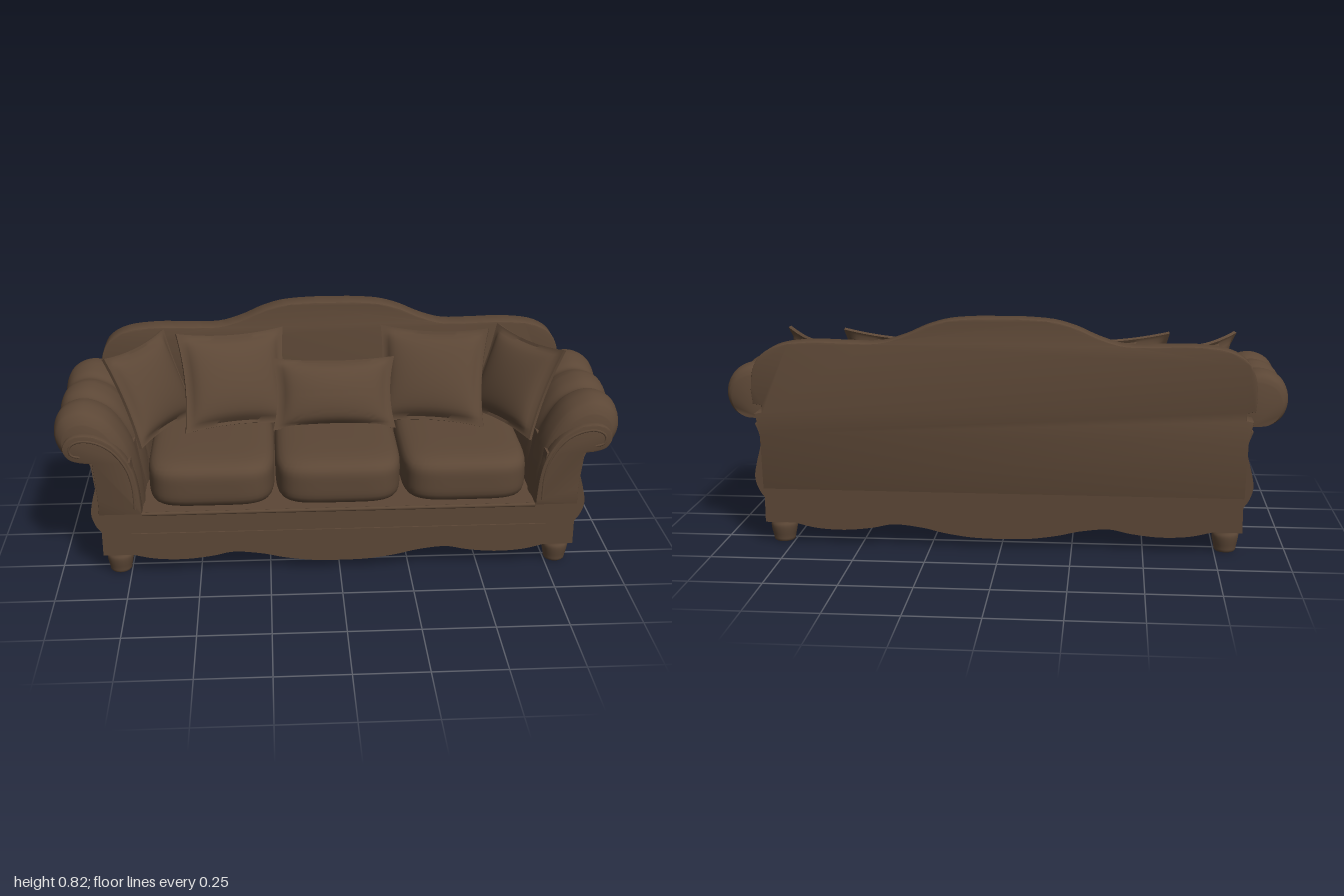
import * as THREE from 'three';
import { mergeVertices, toCreasedNormals } from 'three/addons/utils/BufferGeometryUtils.js';

const leather = new THREE.MeshStandardMaterial({ color: 0x5c4736 });
leather.name = 'brown leather';

const V = ([x, y]) => new THREE.Vector2(x, y);
const spline = (pts, n) => new THREE.SplineCurve(pts.map(V)).getPoints(n);
const mirror = (pts) => [...pts, ...pts.slice().reverse().map((p) => new THREE.Vector2(-p.x, p.y))];

function extrude(points, z0, z1, bevel = 0) {
  const geo = new THREE.ExtrudeGeometry(new THREE.Shape(points), {
    depth: z1 - z0 - 2 * bevel, bevelEnabled: bevel > 0,
    bevelSize: bevel, bevelOffset: -bevel, bevelThickness: bevel, bevelSegments: 2,
  });
  geo.translate(0, 0, z0 + bevel);
  return toCreasedNormals(geo, 0.6);
}

function smooth(geo, crease = 1) {
  geo.deleteAttribute('uv');
  geo.deleteAttribute('normal');
  return toCreasedNormals(mergeVertices(geo, 1e-5), crease);
}

// Seat cushion: a cube pushed onto a rounded "super ball"
function seatCushion(w, h, d) {
  const geo = new THREE.BoxGeometry(2, 2, 2, 16, 12, 16);
  const p = geo.attributes.position;
  for (let i = 0; i < p.count; i++) {
    const q = [p.getX(i), p.getY(i), p.getZ(i)];
    const k = q.reduce((s, v) => s + Math.abs(v) ** 5, 0) ** (-1 / 5);
    p.setXYZ(i, q[0] * k * w / 2, q[1] * k * h / 2, q[2] * k * d / 2);
  }
  return smooth(geo, 3);
}

// Throw pillow: puffed middle, thin flange, pinched-in sides
function throwPillow(w, h, puff) {
  const geo = new THREE.BoxGeometry(2, 2, 2, 28, 28, 1);
  const p = geo.attributes.position;
  const inner = (t) => Math.max(0, 1 - (t / 0.88) ** 2) ** 0.5;
  for (let i = 0; i < p.count; i++) {
    const u = p.getX(i), v = p.getY(i);
    const t = 0.006 + puff * (inner(u) * inner(v)) ** 0.8;
    p.setXYZ(i,
      u * w / 2 * (1 - 0.08 * (1 - v * v)),
      v * h / 2 * (1 - 0.1 * (1 - u * u)),
      Math.sign(p.getZ(i)) * t);
  }
  return smooth(geo, 0.9);
}

// Padded rolled arm: one profile swept in z with three bulges
function rolledArm(side) {
  const profile = [
    ...spline([[0.69, 0.24], [0.7, 0.36], [0.73, 0.48], [0.79, 0.58], [0.86, 0.625], [0.92, 0.63],
      [0.975, 0.6], [1, 0.54], [0.985, 0.48], [0.94, 0.445], [0.87, 0.44]], 36),
    new THREE.Vector2(0.84, 0.24),
  ];
  const swell = spline([[0.31, 0.7], [0.297, 0.81], [0.275, 0.91], [0.22, 0.97], [0.165, 0.93], [0.13, 0.85],
    [0.08, 0.95], [0.01, 0.97], [-0.055, 0.88], [-0.1, 0.95], [-0.17, 1], [-0.23, 0.95], [-0.25, 0.8]], 48);
  const rings = [new THREE.Vector2(swell[0].x, 0), ...swell, new THREE.Vector2(-0.25, 0)];
  const cx = 0.87, cy = 0.44, n = profile.length, pos = [], index = [];
  rings.forEach(({ x: z, y: s }, i) => {
    for (const p of profile) {
      const sy = p.y > cy || s === 0 ? s : 1;
      pos.push(side * (cx + (p.x - cx) * s), cy + (p.y - cy) * sy, z);
    }
    if (i === rings.length - 1) return;
    for (let j = 0; j < n; j++) {
      const a = i * n + j, b = i * n + (j + 1) % n, c = a + n, d = b + n;
      index.push(...(side > 0 ? [a, b, c, b, d, c] : [a, c, b, b, c, d]));
    }
  });
  const geo = new THREE.BufferGeometry();
  geo.setAttribute('position', new THREE.Float32BufferAttribute(pos, 3));
  geo.setIndex(index);
  return toCreasedNormals(geo, 0.9);
}

function tube(points, radius, n = 40) {
  const curve = new THREE.CatmullRomCurve3(points.map((p) => new THREE.Vector3(...p)));
  return new THREE.TubeGeometry(curve, n, radius, 8);
}

export function createModel() {
  const sofa = new THREE.Group();
  sofa.name = 'sofa';
  const add = (name, geo, x = 0, y = 0, z = 0) => {
    const mesh = new THREE.Mesh(geo, leather);
    mesh.name = name;
    mesh.position.set(x, y, z);
    sofa.add(mesh);
    return mesh;
  };

  // Base: scalloped apron, swelling sides, dropped seat deck
  const base = [
    ...spline([[0, 0.035], [0.1, 0.038], [0.2, 0.052], [0.28, 0.07], [0.38, 0.08], [0.46, 0.065],
      [0.56, 0.055], [0.66, 0.06], [0.74, 0.078]], 40),
    V([0.845, 0.078]),
    ...spline([[0.845, 0.17], [0.865, 0.2], [0.877, 0.245], [0.868, 0.3], [0.853, 0.36], [0.855, 0.4], [0.87, 0.44]], 24),
    V([0.73, 0.44]), V([0.7, 0.24]),
  ];
  add('base', extrude(mirror(base.slice(1)), -0.334, 0.328));

  // Serpentine back
  const back = [
    V([0.85, 0.2]), V([0.855, 0.4]), V([0.87, 0.475]), V([0.845, 0.48]), V([0.845, 0.505]), V([0.875, 0.51]),
    ...spline([[0.88, 0.56], [0.872, 0.63], [0.84, 0.685], [0.77, 0.72], [0.66, 0.732], [0.55, 0.73], [0.43, 0.73],
      [0.34, 0.755], [0.26, 0.79], [0.18, 0.812], [0.08, 0.82], [0.01, 0.82]], 44),
  ];
  add('back', extrude(mirror(back), -0.335, -0.25, 0.004));

  // Front rail mouldings
  add('railMoulding', new THREE.BoxGeometry(1.48, 0.008, 0.006), 0, 0.16, 0.33);
  add('railWelt', tube([[-0.7, 0.238, 0.325], [0, 0.238, 0.325], [0.7, 0.238, 0.325]], 0.007));

  for (const side of [1, -1]) {
    const label = side > 0 ? 'left' : 'right';
    add(label + 'Arm', rolledArm(side));

    // Scroll-shaped arm front with welt
    const scroll = spline([[0.7, 0.24], [0.708, 0.34], [0.728, 0.42], [0.775, 0.495], [0.835, 0.535], [0.895, 0.545],
      [0.94, 0.53], [0.958, 0.495], [0.94, 0.458], [0.9, 0.443], [0.86, 0.44]], 40);
    const panel = [...scroll, V([0.85, 0.3]), V([0.85, 0.24])].map((p) => new THREE.Vector2(p.x * side, p.y));
    add(label + 'ArmScroll', extrude(panel, 0.29, 0.333, 0.004));
    const welt = [[0.722, 0.26], [0.726, 0.35], [0.745, 0.42], [0.79, 0.485], [0.845, 0.518], [0.9, 0.524],
      [0.932, 0.505], [0.93, 0.475], [0.9, 0.465]].map(([x, y]) => [x * side, y, 0.331]);
    add(label + 'ArmWelt', tube(welt, 0.005));

    // Turned feet
    for (const z of [0.28, -0.28]) {
      const foot = new THREE.LatheGeometry(
        spline([[0.001, 0], [0.034, 0], [0.04, 0.018], [0.046, 0.045], [0.047, 0.062], [0.042, 0.075], [0.042, 0.095]], 18), 20);
      add(label + (z > 0 ? 'FrontFoot' : 'BackFoot'), foot, side * 0.79, 0, z);
    }
  }

  // Seat cushions
  for (const i of [-1, 0, 1]) add('seatCushion', seatCushion(0.452, 0.18, 0.57), i * 0.454, 0.328, 0.042);

  // Throw pillows: one in the centre, two leaning on each side
  const pillow = (name, w, h, puff, [x, y, z], yaw, tilt, roll = 0) => {
    add(name, throwPillow(w, h, puff), x, y, z).rotation.set(-tilt, yaw, roll, 'YXZ');
  };
  pillow('centrePillow', 0.46, 0.27, 0.05, [0, 0.52, -0.08], 0, 0.42);
  for (const s of [1, -1]) {
    pillow('backPillow', 0.41, 0.37, 0.055, [s * 0.37, 0.575, -0.1], -s * 0.28, 0.45, s * 0.04);
    pillow('cornerPillow', 0.37, 0.35, 0.05, [s * 0.675, 0.565, -0.06], -s * 1.03, 0.42);
  }
  return sofa;
}
